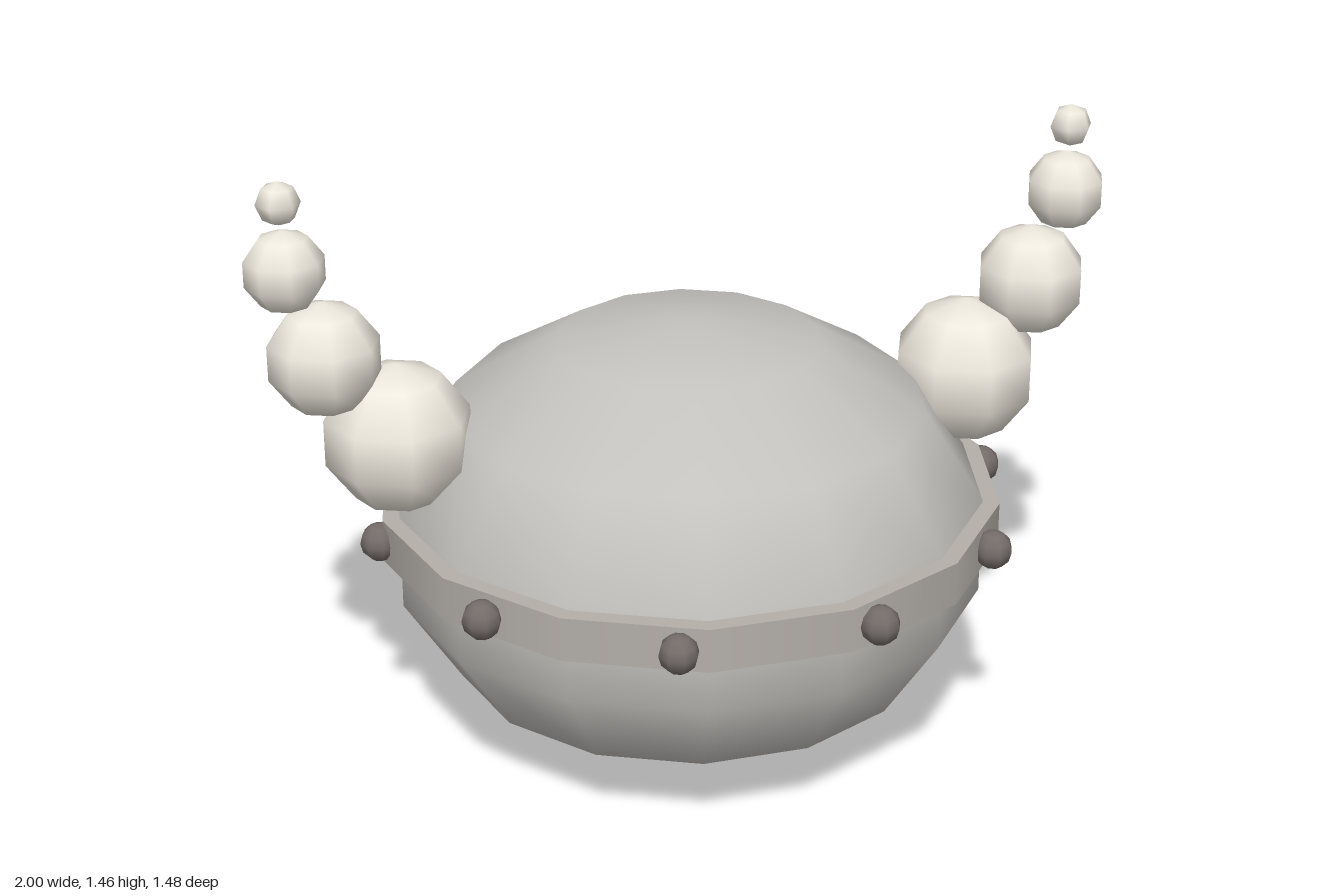
import * as THREE from 'three';

const material = (color) => new THREE.MeshStandardMaterial({ color });

function addMesh(parent, name, geometry, mat, x, y, z) {
  const mesh = new THREE.Mesh(geometry, mat);
  mesh.name = name;
  mesh.position.set(x, y, z);
  parent.add(mesh);
  return mesh;
}

export function createModel() {
  const model = new THREE.Group();
  model.name = 'hornedHelmet';
  const shellMat = material(0xc4c2be);
  const bandMat = material(0xb4afa9);
  const studMat = material(0x746c69);
  const hornMat = material(0xeee9de);

  // Squashed ball body
  const shell = addMesh(model, 'shell', new THREE.SphereGeometry(0.7, 14, 7), shellMat, 0, 0.52, 0);
  shell.scale.y = 0.52 / 0.7;

  // Band around the middle, corners lined up with the shell
  const bandY = 0.577;
  const band = addMesh(model, 'band', new THREE.CylinderGeometry(0.722, 0.722, 0.103, 14), bandMat, 0, bandY, 0);
  band.rotation.y = Math.PI / 2;

  // Ten studs evenly spaced on the band
  const studs = new THREE.Group();
  studs.name = 'studs';
  model.add(studs);
  const studGeometry = new THREE.SphereGeometry(0.045, 8, 6);
  for (let i = 0; i < 10; i++) {
    const a = (i * Math.PI) / 5;
    addMesh(studs, 'stud', studGeometry, studMat, 0.73 * Math.cos(a), bandY, 0.73 * Math.sin(a));
  }

  // Horns: balls shrinking toward the tip [x, y, radius, sides, rings]
  const hornBalls = [
    [0.677, 0.836, 0.175, 8, 5],
    [0.833, 1.043, 0.132, 8, 5],
    [0.909, 1.256, 0.094, 8, 5],
    [0.914, 1.412, 0.05, 6, 4],
  ];
  for (const side of [1, -1]) {
    const horn = new THREE.Group();
    horn.name = side > 0 ? 'leftHorn' : 'rightHorn';
    model.add(horn);
    for (const [x, y, r, sides, rings] of hornBalls) {
      addMesh(horn, 'hornBall', new THREE.SphereGeometry(r, sides, rings), hornMat, side * x, y, 0);
    }
  }
  return model;
}
